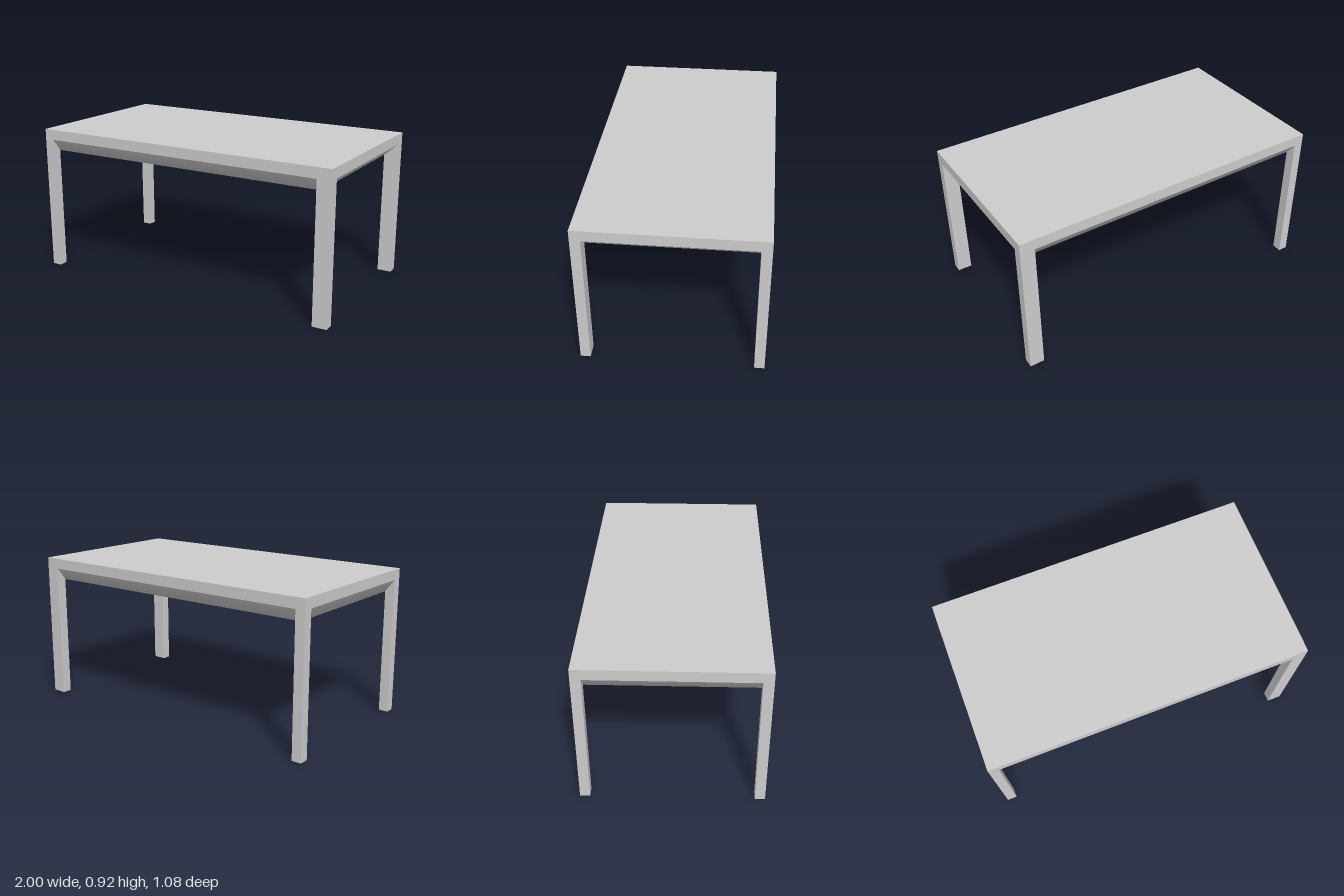
import * as THREE from 'three';

const HEIGHT = 0.92, APRON_Y = 0.855, BOTTOM_Y = 0.777;
const HALF_X = 1, HALF_Z = 0.54;
// Inner faces of the legs (the legs on the left are wider)
const IN_LEFT = 0.91, IN_RIGHT = -0.94, IN_Z = 0.48;

const material = new THREE.MeshStandardMaterial({ color: 0xcccccc });

// Box given by its minimum and maximum corners
function box(name, [x0, y0, z0], [x1, y1, z1]) {
  const mesh = new THREE.Mesh(new THREE.BoxGeometry(x1 - x0, y1 - y0, z1 - z0), material);
  mesh.position.set((x0 + x1) / 2, (y0 + y1) / 2, (z0 + z1) / 2);
  mesh.name = name;
  return mesh;
}

// Flat underside with four slopes rising to the outer edge of the tabletop.
// Shared corners make the shading blend softly from slope to flat.
function undersideGeometry() {
  const corners = [[IN_RIGHT, -IN_Z], [IN_LEFT, -IN_Z], [IN_LEFT, IN_Z], [IN_RIGHT, IN_Z]];
  const positions = corners.flatMap(([x, z]) => [x, BOTTOM_Y, z]);
  const index = [0, 1, 2, 0, 2, 3];
  for (let i = 0; i < 4; i++) {
    const j = (i + 1) % 4, outer = positions.length / 3;
    for (const [x, z] of [corners[i], corners[j]]) {
      // even edges run along x, odd edges along z
      if (i % 2 === 0) positions.push(x, APRON_Y, Math.sign(z) * HALF_Z);
      else positions.push(Math.sign(x) * HALF_X, APRON_Y, z);
    }
    index.push(i, outer, outer + 1, i, outer + 1, j);
  }
  const geometry = new THREE.BufferGeometry();
  geometry.setAttribute('position', new THREE.Float32BufferAttribute(positions, 3));
  geometry.setIndex(index);
  geometry.computeVertexNormals();
  return geometry;
}

export function createModel() {
  const table = new THREE.Group();
  table.name = 'table';

  // Tabletop slab
  table.add(box('tabletop', [-HALF_X, APRON_Y, -HALF_Z], [HALF_X, HEIGHT, HALF_Z]));

  // Four legs, flush with the tabletop corners
  for (const [end, z0, z1] of [['front', IN_Z, HALF_Z], ['back', -HALF_Z, -IN_Z]]) {
    table.add(box(end + 'LeftLeg', [IN_LEFT, 0, z0], [HALF_X, APRON_Y, z1]));
    table.add(box(end + 'RightLeg', [-HALF_X, 0, z0], [IN_RIGHT, APRON_Y, z1]));
  }

  // Sloped underside between the legs
  const underside = new THREE.Mesh(undersideGeometry(), material);
  underside.name = 'underside';
  table.add(underside);

  return table;
}
